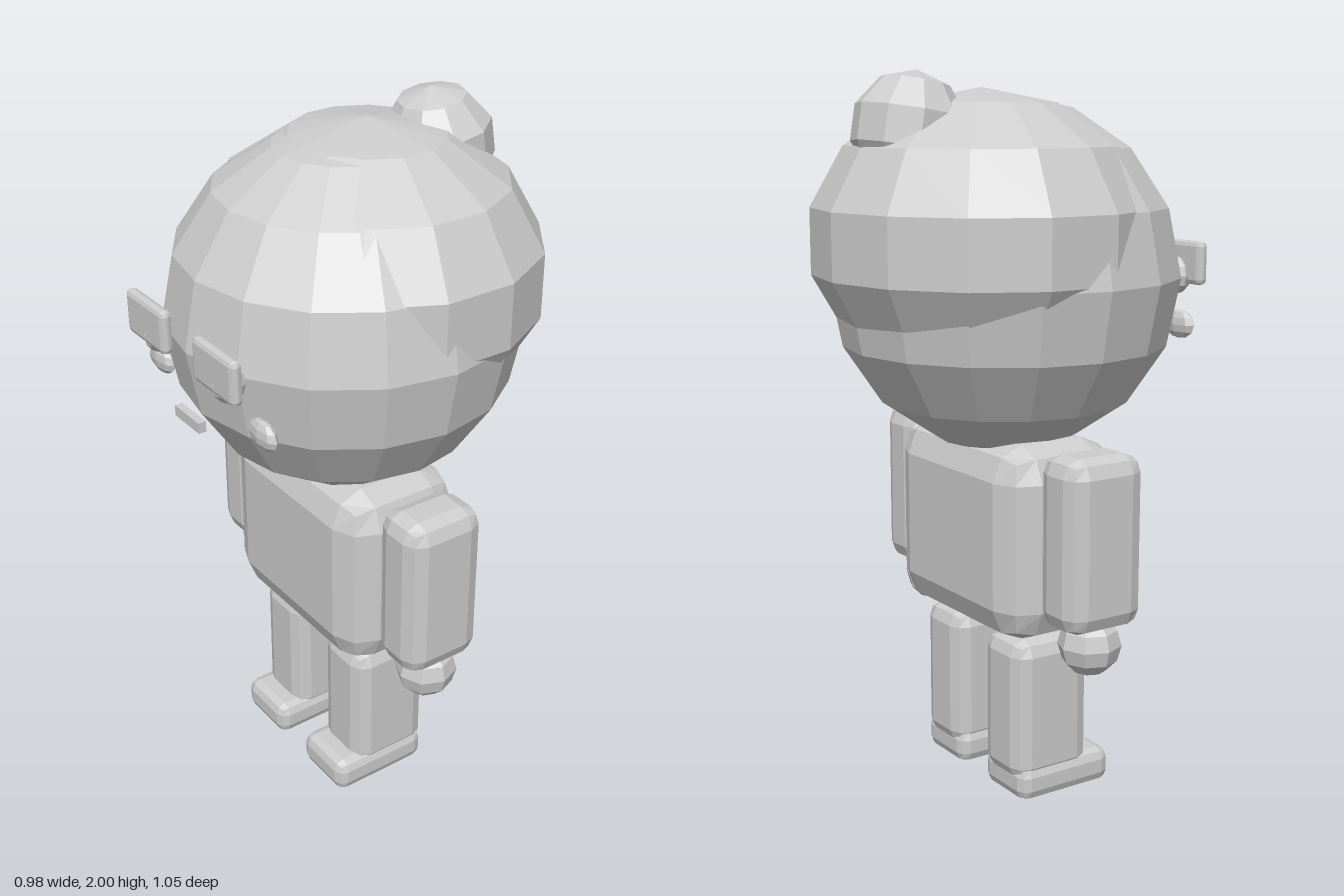
import * as THREE from 'three';
import { RoundedBoxGeometry } from 'three/addons/geometries/RoundedBoxGeometry.js';

export function createModel() {
  const model = new THREE.Group();
  const grey = new THREE.MeshStandardMaterial({ color: 0xcccccc, flatShading: true });
  grey.name = 'plainGrey';

  function add(name, geometry, x, y, z) {
    const mesh = new THREE.Mesh(geometry, grey);
    mesh.name = name;
    mesh.position.set(x, y, z);
    model.add(mesh);
    return mesh;
  }

  // Faceted ellipsoid with corners on its front and back
  function ball(rx, ry, rz, around, high) {
    return new THREE.SphereGeometry(1, around, high).rotateY(Math.PI / 2).scale(rx, ry, rz);
  }

  // Box with bevelled edges
  function block(w, h, d, bevel) {
    return new RoundedBoxGeometry(w, h, d, 1, bevel);
  }

  // Head, hair cap and tilted hair bun
  add('head', ball(0.487, 0.49, 0.487, 16, 8), 0, 1.45, 0.015);
  add('hair', ball(0.497, 0.405, 0.47, 14, 7), 0, 1.55, -0.06);
  add('hairBun', ball(0.16, 0.155, 0.155, 10, 5), 0, 1.845, -0.285).rotation.x = 0.17;

  // Mouth
  add('mouth', new THREE.BoxGeometry(0.12, 0.03, 0.022), 0, 1.26, 0.498);

  // Torso
  add('torso', block(0.63, 0.545, 0.38, 0.095), 0, 0.7475, 0.02);

  // Mirrored parts
  for (const [side, s] of [['left', 1], ['right', -1]]) {
    add(side + 'Eye', ball(0.05, 0.055, 0.045, 8, 6), s * 0.17, 1.436, 0.483);
    add(side + 'EyePlate', block(0.192, 0.122, 0.034, 0.014), s * 0.168, 1.474, 0.509);
    add(side + 'Cheek', ball(0.062, 0.04, 0.022, 8, 6), s * 0.252, 1.31, 0.435);
    add(side + 'Arm', block(0.17, 0.475, 0.24, 0.05), s * 0.405, 0.782, 0.02);
    add(side + 'Hand', ball(0.087, 0.085, 0.087, 8, 6), s * 0.402, 0.495, 0.02);
    add(side + 'Leg', block(0.188, 0.415, 0.245, 0.045), s * 0.157, 0.2575, 0.018);
    add(side + 'Foot', block(0.2, 0.1, 0.305, 0.03), s * 0.157, 0.05, 0.058);
  }
  return model;
}
